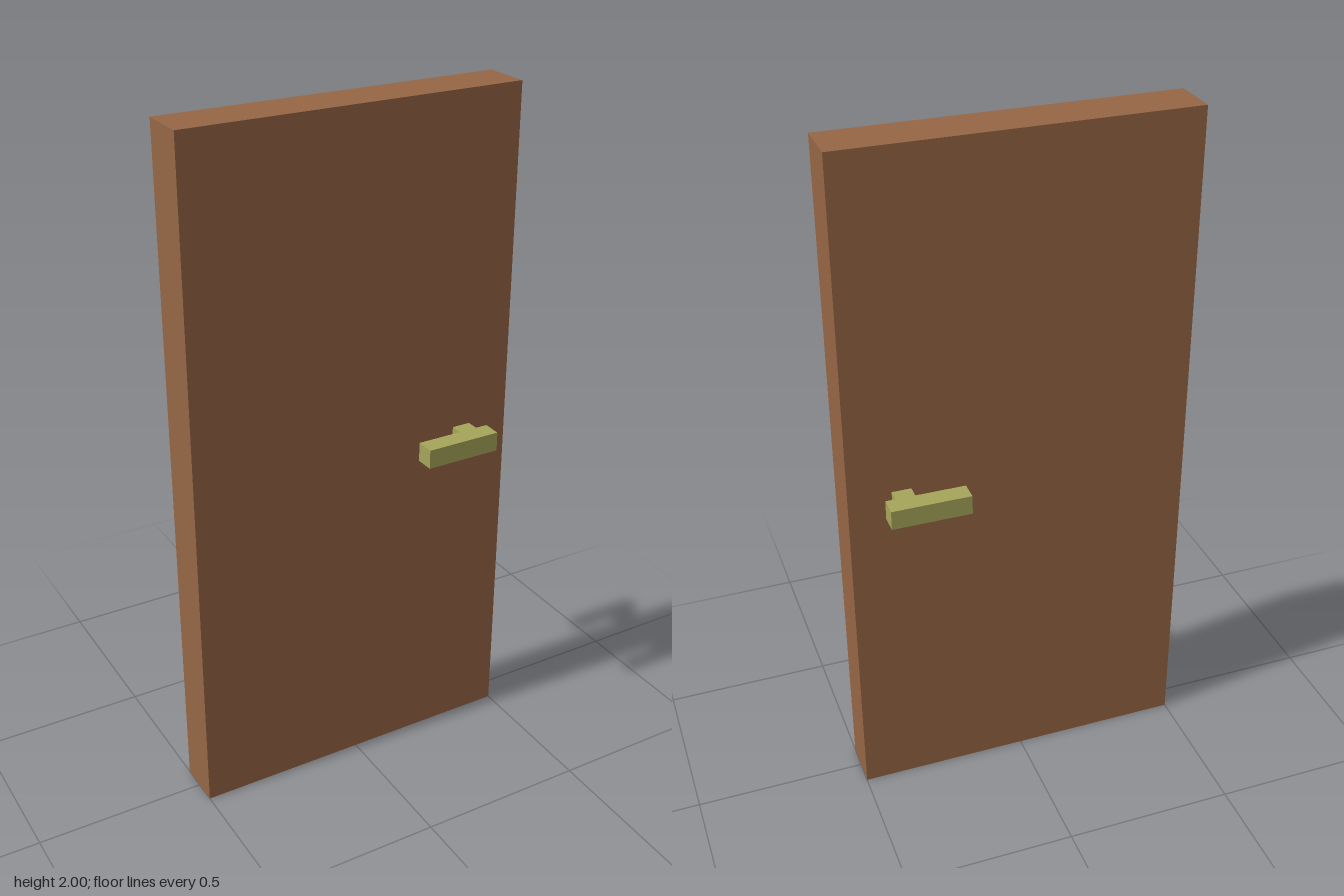
import * as THREE from 'three';

export function createModel() {
  const model = new THREE.Group();
  model.name = 'door';
  const wood = new THREE.MeshStandardMaterial({ color: 0x966644 });
  const brass = new THREE.MeshStandardMaterial({ color: 0xa5a55a });

  // Box placed by its centre
  const box = (name, parent, material, [w, h, d], [x, y, z]) => {
    const mesh = new THREE.Mesh(new THREE.BoxGeometry(w, h, d), material);
    mesh.name = name;
    mesh.position.set(x, y, z);
    parent.add(mesh);
  };

  // Door leaf
  box('doorPanel', model, wood, [1, 2, 0.142], [0, 1, 0]);

  // Lever handle on each face: neck from the panel, lever toward the hinge side
  for (const [name, side] of [['frontHandle', 1], ['backHandle', -1]]) {
    const handle = new THREE.Group();
    handle.name = name;
    box('neck', handle, brass, [0.056, 0.048, 0.046], [0.348, 1, side * 0.093]);
    box('lever', handle, brass, [0.228, 0.057, 0.056], [0.292, 1, side * 0.143]);
    model.add(handle);
  }
  return model;
}
